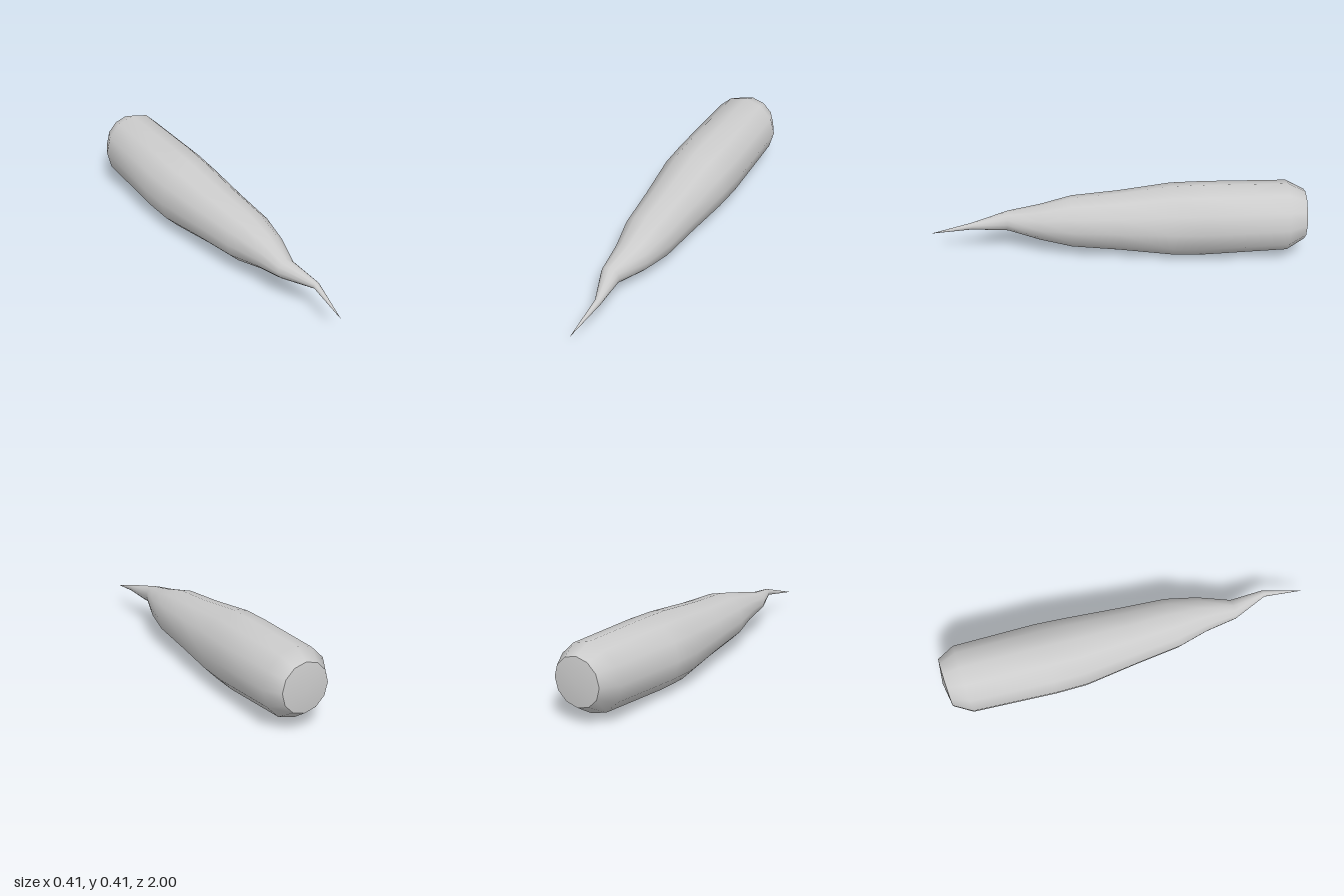
import * as THREE from 'three';

const SIDES = 12;

// Cross-sections from the blunt end to the root tip: z, centre x, centre y, radius x, radius y
const SECTIONS = [
  [-0.983, 0.025, 0.233, 0.131, 0.132],
  [-0.89, 0.018, 0.225, 0.184, 0.185],
  [-0.45, -0.006, 0.2, 0.195, 0.196],
  [-0.28, -0.017, 0.193, 0.189, 0.193],
  [0.0, -0.02, 0.188, 0.16, 0.158],
  [0.25, -0.024, 0.185, 0.137, 0.136],
  [0.42, -0.027, 0.181, 0.097, 0.094],
  [0.59, -0.053, 0.178, 0.053, 0.053],
  [0.78, -0.016, 0.168, 0.018, 0.018],
  [1.0, -0.047, 0.109, 0.0005, 0.0005],
];

function ringPoint([z, cx, cy, rx, ry], j) {
  const a = (j / SIDES) * Math.PI * 2;
  return [cx + rx * Math.cos(a), cy + ry * Math.sin(a), z];
}

function makeMesh(name, positions, index, material) {
  const geometry = new THREE.BufferGeometry();
  geometry.setAttribute('position', new THREE.Float32BufferAttribute(positions, 3));
  geometry.setIndex(index);
  geometry.computeVertexNormals();
  const mesh = new THREE.Mesh(geometry, material);
  mesh.name = name;
  return mesh;
}

export function createModel() {
  const group = new THREE.Group();
  group.name = 'carrot';
  const material = new THREE.MeshStandardMaterial({ color: 0xcccccc });

  // Tapered root body, smooth across shared vertices
  const positions = [], index = [];
  SECTIONS.forEach((section, i) => {
    for (let j = 0; j < SIDES; j++) {
      positions.push(...ringPoint(section, j));
      if (i === SECTIONS.length - 1) continue;
      const k = (j + 1) % SIDES;
      const a = i * SIDES + j, b = i * SIDES + k;
      index.push(a, b, b + SIDES, a, b + SIDES, a + SIDES);
    }
  });
  group.add(makeMesh('rootBody', positions, index, material));

  // Slightly domed end cap with a sharp rim
  const capPositions = [0.025, 0.233, -1], capIndex = [];
  for (let j = 0; j < SIDES; j++) {
    capPositions.push(...ringPoint(SECTIONS[0], j));
    capIndex.push(0, 1 + ((j + 1) % SIDES), 1 + j);
  }
  group.add(makeMesh('crownCap', capPositions, capIndex, material));

  return group;
}
